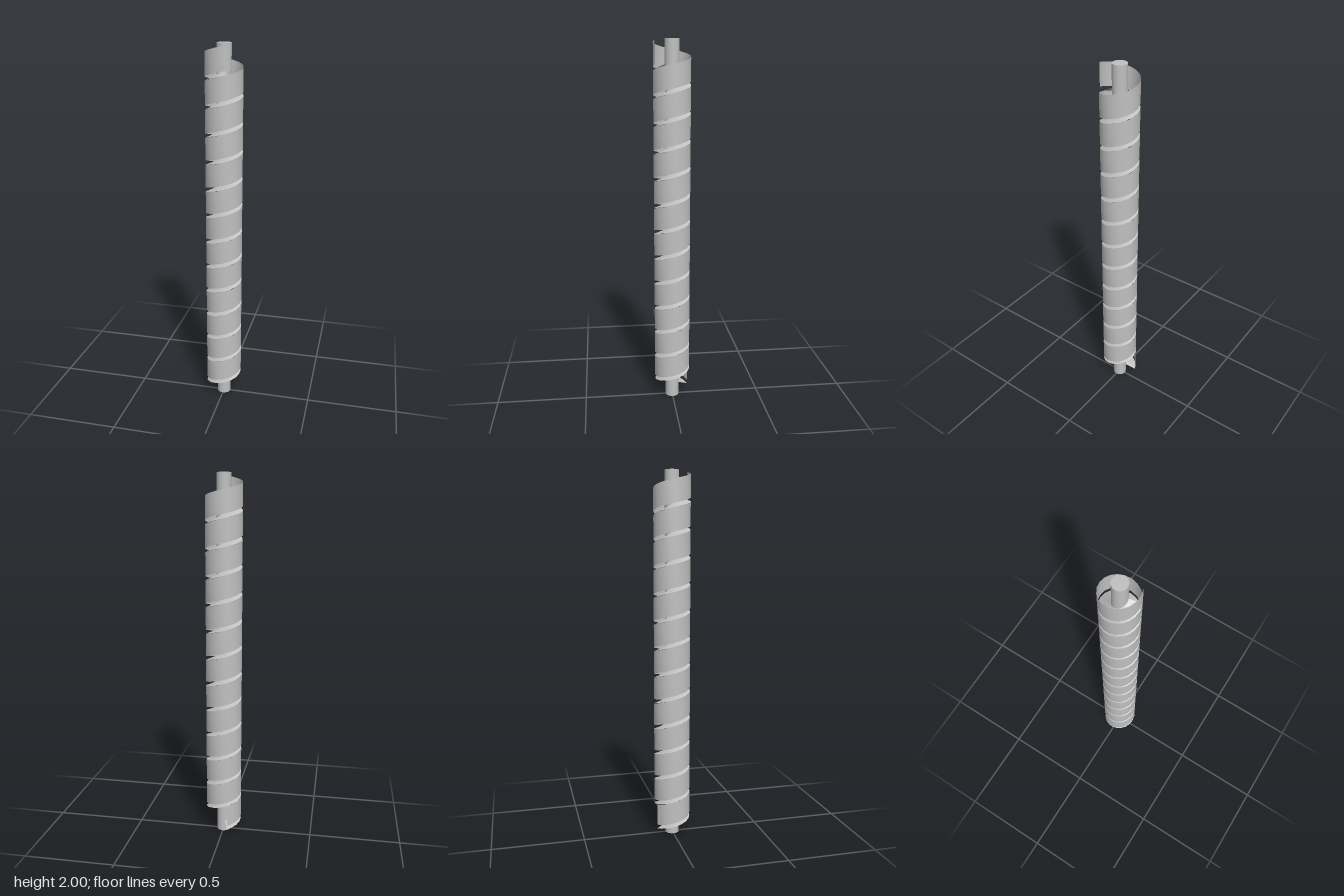
import * as THREE from 'three';

const TURNS = 12.5, PITCH = 0.145, PER_TURN = 20;
const START = THREE.MathUtils.degToRad(-160);

// Ribbon swept up the helix; its cross-section is a line from (r0, y0) to (r1, y1)
function helixRibbon(r0, y0, r1, y1) {
  const steps = TURNS * PER_TURN, pos = [], index = [];
  for (let i = 0; i <= steps; i++) {
    const turn = i / PER_TURN, a = START + turn * Math.PI * 2, rise = turn * PITCH;
    for (const [r, y] of [[r0, y0], [r1, y1]]) {
      pos.push(r * Math.sin(a), y + rise, r * Math.cos(a));
    }
    if (i < steps) {
      const k = i * 2;
      index.push(k, k + 2, k + 1, k + 1, k + 2, k + 3);
    }
  }
  const g = new THREE.BufferGeometry();
  g.setAttribute('position', new THREE.Float32BufferAttribute(pos, 3));
  g.setIndex(index);
  g.computeVertexNormals();
  return g;
}

export function createModel() {
  const group = new THREE.Group();
  group.name = 'screwConveyor';
  const steel = new THREE.MeshStandardMaterial({ color: 0xc0c0c0, side: THREE.DoubleSide });
  steel.name = 'grey steel';

  const add = (name, geometry) => {
    const mesh = new THREE.Mesh(geometry, steel);
    mesh.name = name;
    group.add(mesh);
    return mesh;
  };

  // Central shaft
  add('shaft', new THREE.CylinderGeometry(0.038, 0.038, 2, 32)).position.y = 1;
  // Outer spiral casing, open along a narrow groove
  add('spiralCasing', helixRibbon(0.099, 0.06, 0.099, 0.181));
  // Spiral flight, sloping down from the shaft to the groove
  add('spiralFlight', helixRibbon(0.099, 0.038, 0.037, 0.062).scale(1, 1, 1));
  // Flight winding runs outer to inner, so flip it to face upwards
  const flight = group.getObjectByName('spiralFlight').geometry;
  const idx = flight.index.array;
  for (let i = 0; i < idx.length; i += 3) [idx[i], idx[i + 1]] = [idx[i + 1], idx[i]];
  flight.computeVertexNormals();
  if (flight.attributes.normal.getY(10) < 0) {
    for (let i = 0; i < idx.length; i += 3) [idx[i], idx[i + 1]] = [idx[i + 1], idx[i]];
    flight.computeVertexNormals();
  }
  return group;
}
